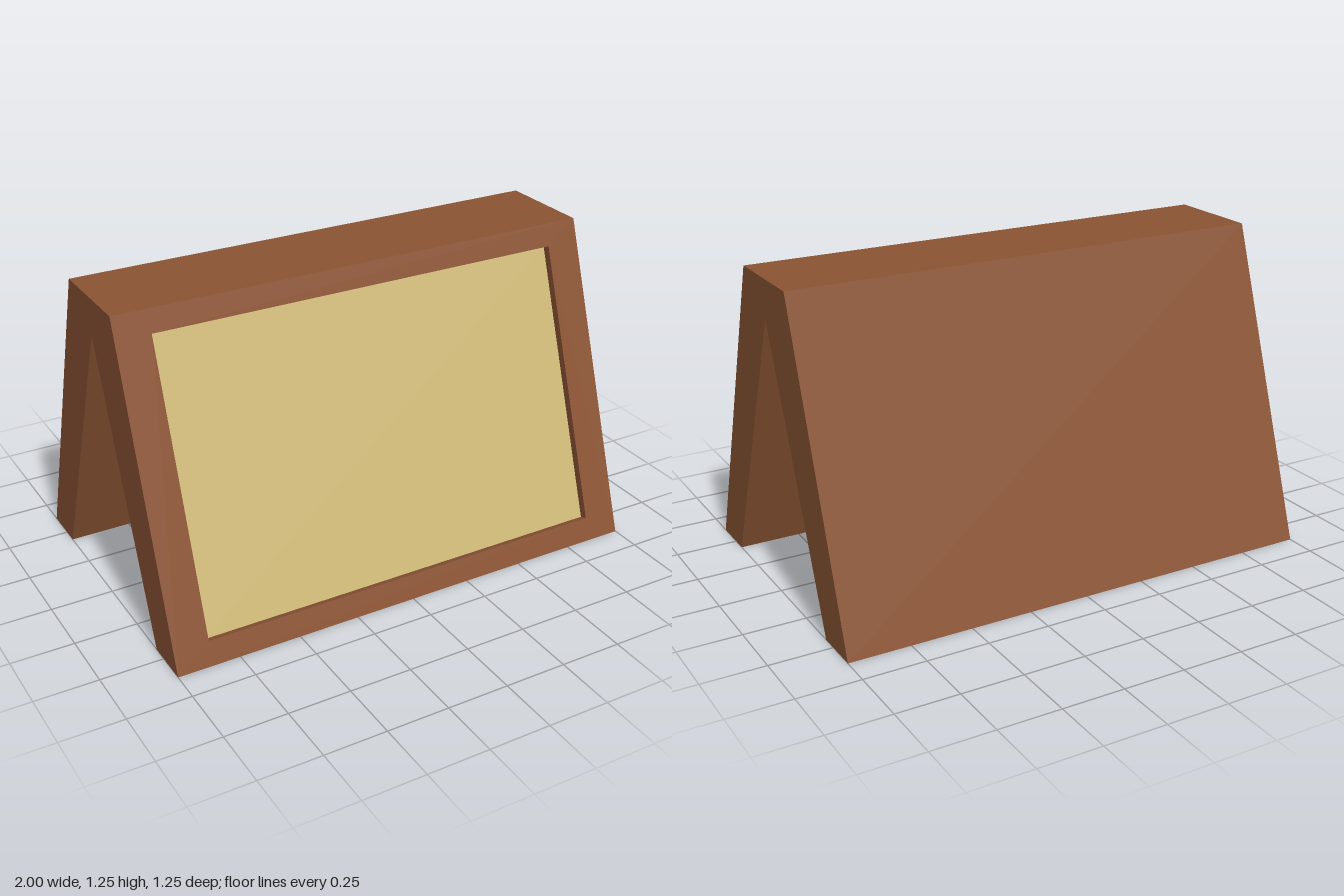
import * as THREE from 'three';

const H = 1.25, FOOT = 0.627, TOP = 0.197, HALF_W = 1;
const DEPTH = 0.035; // thickness of the raised frame
const lean = Math.atan((FOOT - TOP) / H);
const slopeLength = H / Math.cos(lean);
const setBack = DEPTH / Math.cos(lean);

function polygon(points) {
  return new THREE.Shape(points.map(([x, y]) => new THREE.Vector2(x, y)));
}

function rectangle(x, y0, y1) {
  return [[-x, y0], [x, y0], [x, y1], [-x, y1]];
}

export function createModel() {
  const wood = new THREE.MeshStandardMaterial({ color: 0x8b5434 });
  wood.name = 'brown wood';
  const cream = new THREE.MeshStandardMaterial({ color: 0xd0b978 });
  cream.name = 'tan panel';

  const model = new THREE.Group();
  model.name = 'tentSign';

  // A-shaped body, with its front set back to leave room for the frame
  const profile = polygon([
    [FOOT - setBack, 0], [TOP - setBack, H], [-TOP, H], [-FOOT, 0],
    [-0.435, 0], [0, 1.1], [0.435, 0],
  ]);
  const bodyGeometry = new THREE.ExtrudeGeometry(profile, { depth: 2 * HALF_W, bevelEnabled: false });
  bodyGeometry.translate(0, 0, -HALF_W).rotateY(-Math.PI / 2);
  const body = new THREE.Mesh(bodyGeometry, wood);
  body.name = 'body';
  model.add(body);

  // Leaning front face; local y runs up the slope
  const front = new THREE.Group();
  front.name = 'frontFace';
  front.position.z = FOOT;
  front.rotation.x = -lean;
  model.add(front);

  // Frame around the recess
  const openX = 0.86;
  const openLow = 0.09 / Math.cos(lean), openHigh = 1.165 / Math.cos(lean);
  const frameShape = polygon(rectangle(HALF_W, 0, slopeLength));
  frameShape.holes.push(polygon(rectangle(openX, openLow, openHigh)));
  const frameGeometry = new THREE.ExtrudeGeometry(frameShape, { depth: DEPTH, bevelEnabled: false });
  frameGeometry.translate(0, 0, -DEPTH);

  // Shift the outer back corners so the foot and top are cut level
  const p = frameGeometry.attributes.position;
  for (let i = 0; i < p.count; i++) {
    if (Math.abs(p.getX(i)) > openX + 0.01) {
      p.setY(i, p.getY(i) - p.getZ(i) * Math.tan(lean));
    }
  }
  frameGeometry.computeVertexNormals();
  const frame = new THREE.Mesh(frameGeometry, wood);
  frame.name = 'frame';
  front.add(frame);

  // Recessed panel
  const panel = new THREE.Mesh(new THREE.PlaneGeometry(2 * openX, openHigh - openLow), cream);
  panel.name = 'panel';
  panel.position.set(0, (openLow + openHigh) / 2, -DEPTH + 0.002);
  front.add(panel);

  return model;
}
